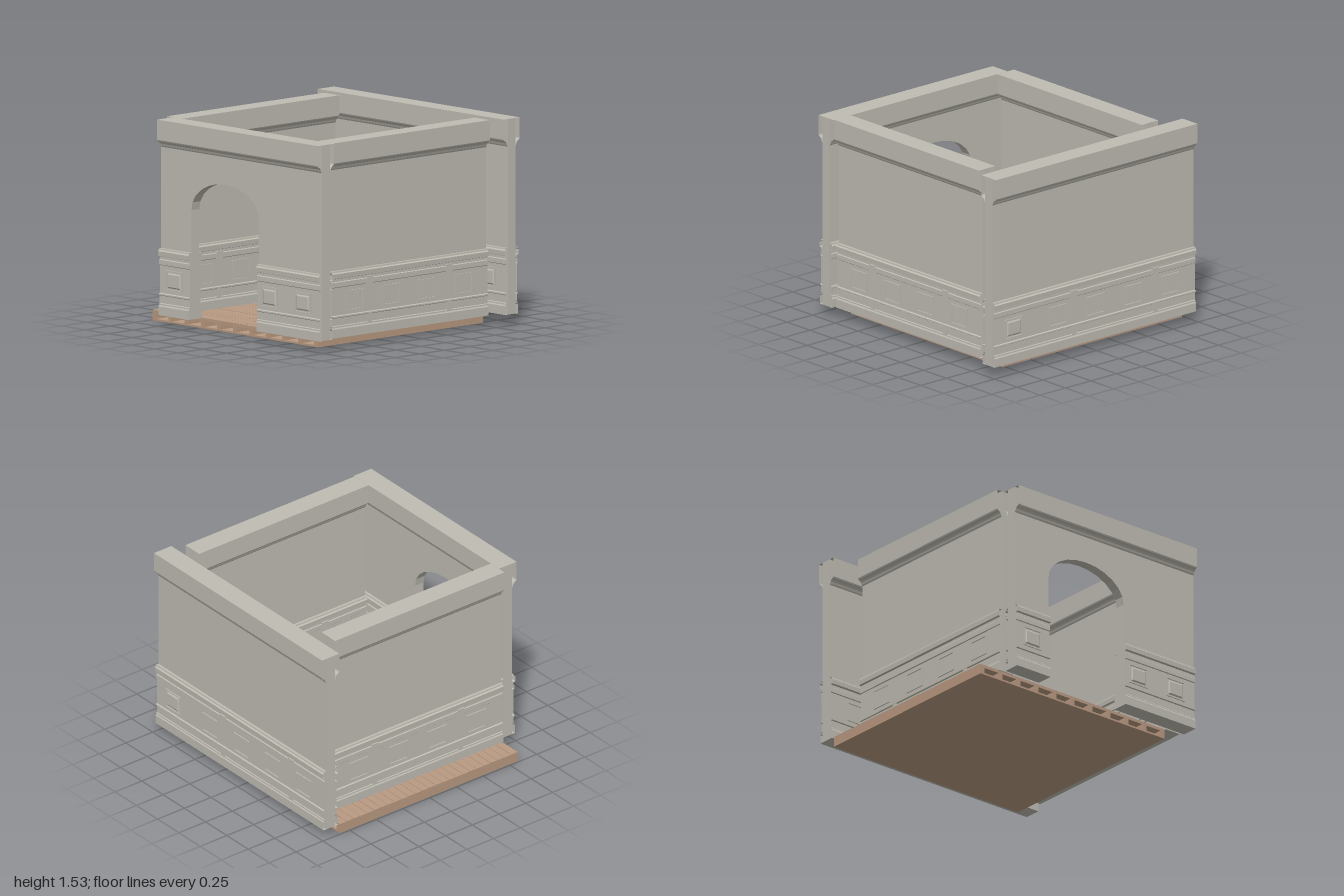
import * as THREE from 'three';

const Y0 = 0.08, Y1 = 1.53, CORE = 0.04;

// trim cross-sections: [distance from wall centre plane, height]
const CROWN = [[0.04, 1.325], [0.046, 1.335], [0.052, 1.35], [0.062, 1.363], [0.076, 1.37], [0.081, 1.38], [0.081, Y1], [0.038, Y1]];
const WAINSCOT = [[0.04, Y0], [0.066, Y0], [0.066, 0.145], [0.06, 0.155], [0.06, 0.165], [0.055, 0.17],
  [0.055, 0.225], [0.064, 0.23], [0.064, 0.24], [0.054, 0.245], [0.054, 0.45], [0.06, 0.455], [0.06, 0.49],
  [0.054, 0.495], [0.054, 0.515], [0.07, 0.52], [0.072, 0.555], [0.062, 0.563], [0.06, 0.575], [0.04, 0.575]];

export function createModel() {
  const model = new THREE.Group();
  model.name = 'roomSection';
  const stone = new THREE.MeshStandardMaterial({ color: 0xbfbcb2, side: THREE.DoubleSide });
  stone.name = 'greyPlaster';
  const wood = new THREE.MeshStandardMaterial({ color: 0xba9a82 });
  wood.name = 'brownWood';

  function add(parent, name, geometry, material, x = 0, y = 0, z = 0) {
    const m = new THREE.Mesh(geometry, material);
    m.name = name;
    m.position.set(x, y, z);
    parent.add(m);
    return m;
  }
  const box = (parent, name, mat, x0, x1, y0, y1, z0, z1) =>
    add(parent, name, new THREE.BoxGeometry(x1 - x0, y1 - y0, z1 - z0), mat, (x0 + x1) / 2, (y0 + y1) / 2, (z0 + z1) / 2);

  // open-ended moulding swept along x on side s (+1 or -1) of a wall
  function moulding(parent, name, profile, x0, x1, s) {
    const pos = [];
    for (let i = 0; i < profile.length - 1; i++) {
      const [u, y] = profile[i], [v, w] = profile[i + 1];
      const a = [x0, y, s * u], b = [x1, y, s * u], c = [x1, w, s * v], d = [x0, w, s * v];
      pos.push(...(s > 0 ? [a, b, c, a, c, d] : [a, c, b, a, d, c]).flat());
    }
    const g = new THREE.BufferGeometry();
    g.setAttribute('position', new THREE.Float32BufferAttribute(pos, 3));
    g.computeVertexNormals();
    add(parent, name, g, stone);
  }

  // closes the wainscot where the doorway cuts it
  function jambCap(parent, x, s) {
    const g = new THREE.ShapeGeometry(new THREE.Shape(WAINSCOT.map(([u, y]) => new THREE.Vector2(s * u, y))));
    add(parent, 'wainscotJamb', g, stone, x).rotation.y = -Math.PI / 2;
  }

  function rect(w, h, P = THREE.Shape) {
    const p = new P();
    p.moveTo(-w / 2, -h / 2).lineTo(w / 2, -h / 2).lineTo(w / 2, h / 2).lineTo(-w / 2, h / 2);
    p.closePath();
    return p;
  }
  function frame(w, h, t, depth) {
    const s = rect(w, h);
    s.holes.push(rect(w - 2 * t, h - 2 * t, THREE.Path));
    return new THREE.ExtrudeGeometry(s, { depth, bevelEnabled: false });
  }
  const outerFrame = frame(0.175, 0.15, 0.009, 0.009);
  const innerField = new THREE.ExtrudeGeometry(rect(0.115, 0.092), {
    depth: 0.003, bevelThickness: 0.006, bevelSize: 0.01, bevelSegments: 1 });

  // framed wall panel; ornate ones carry a raised inner field
  function panel(parent, x, s, ornate) {
    const g = new THREE.Group();
    g.name = 'wallPanel';
    g.position.set(x, 0.345, s * 0.053);
    if (s < 0) g.rotation.y = Math.PI;
    add(g, 'panelFrame', outerFrame, stone);
    if (ornate) add(g, 'panelField', innerField, stone);
    parent.add(g);
  }

  // plain straight segment of wall
  const core = (w, x0, x1) => box(w, 'wallCore', stone, x0, x1, Y0, Y1, -CORE, CORE);

  function trim(w, x0, x1, panels, ornate, crown = true) {
    for (const s of [1, -1]) {
      if (crown) moulding(w, 'crownMoulding', CROWN, x0, x1, s);
      moulding(w, 'wainscot', WAINSCOT, x0, x1, s);
      panels.forEach(x => panel(w, x, s, ornate));
    }
  }

  // small clips on the wainscot rails
  function clips(w, centre) {
    for (const s of [1, -1]) for (const o of [-0.4, 0.4]) {
      const x = centre + o;
      box(w, 'railClip', stone, x - 0.03, x + 0.03, 0.45, 0.505, s * 0.059 - 0.006, s * 0.059 + 0.006);
      box(w, 'baseClip', stone, x - 0.02, x + 0.02, 0.165, 0.235, s * 0.057 - 0.006, s * 0.057 + 0.006);
    }
  }

  function wall(name, x, z, turn = 0) {
    const w = new THREE.Group();
    w.name = name;
    w.position.set(x, 0, z);
    w.rotation.y = turn;
    model.add(w);
    return w;
  }
  const OFFSETS = [-0.55, -0.18, 0.18, 0.55];

  // side walls
  for (const [name, x, turn] of [['leftWall', 0.85, Math.PI / 2], ['rightWall', -0.748, -Math.PI / 2]]) {
    const w = wall(name, x, 0.043, turn);
    core(w, -0.792, 0.792);
    trim(w, -0.792, 0.792, OFFSETS, false);
    clips(w, 0);
  }

  // back wall: long segment and short segment
  const back = wall('backWall', 0, -0.919);
  core(back, -0.99, 0.59);
  trim(back, -0.99, 0.59, OFFSETS.map(o => o - 0.195), false);
  clips(back, -0.2);
  core(back, 0.59, 0.985);
  trim(back, 0.59, 0.985, [0.79], true);

  // front wall with arched doorway
  const front = wall('frontWall', 0, 0.917);
  const L = -0.765, R = 0.545, A = -0.445, B = 0.275, mid = (A + B) / 2, half = (B - A) / 2;
  const arch = new THREE.Shape();
  arch.moveTo(L, Y0).lineTo(A, Y0);
  for (let i = 0; i <= 12; i++) {
    const t = Math.PI * (1 - i / 12);
    arch.lineTo(mid + half * Math.cos(t), 0.89 + 0.232 * Math.sin(t));
  }
  arch.lineTo(B, Y0).lineTo(R, Y0).lineTo(R, Y1).lineTo(L, Y1);
  arch.closePath();
  add(front, 'archedWallCore', new THREE.ExtrudeGeometry(arch, { depth: 2 * CORE, bevelEnabled: false }), stone, 0, 0, -CORE);
  for (const s of [1, -1]) {
    moulding(front, 'crownMoulding', CROWN, L, R, s);
    jambCap(front, A, s);
    jambCap(front, B, s);
  }
  trim(front, L, A, [-0.61], true, false);
  trim(front, B, R, [0.403], true, false);
  core(front, R, 0.942);
  trim(front, R, 0.942, [0.757], true);

  // floor deck: base sheet, joists, subfloor, planks
  const floor = new THREE.Group();
  floor.name = 'floor';
  model.add(floor);
  const X0 = -0.99, X1 = 0.77, Z = 0.833;
  box(floor, 'baseSheet', wood, X0, X1, 0, 0.014, -Z, Z);
  box(floor, 'subfloor', wood, X0, X1, 0.054, 0.068, -Z, Z);
  const joists = 11;
  for (let i = 0; i < joists; i++) {
    const c = X0 + 0.02 + i * (X1 - X0 - 0.04) / (joists - 1);
    box(floor, 'joist', wood, c - 0.02, c + 0.02, 0.014, 0.054, -Z, Z);
  }
  let seed = 7;
  const rand = () => (seed = (seed * 16807) % 2147483647) / 2147483647;
  const rows = 26, step = 2 * Z / rows;
  for (let r = 0; r < rows; r++) {
    const joint = -0.6 + rand() * 0.6;
    const cuts = [X0, joint, joint + 0.35 + rand() * 0.4, X1];
    const z = -Z + r * step;
    for (let i = 0; i < 3; i++) {
      const top = 0.077 + rand() * 0.002;
      box(floor, 'plank', wood, cuts[i] + (i ? 0.002 : 0), cuts[i + 1] - (i < 2 ? 0.002 : 0), 0.066, top, z + 0.002, z + step - 0.002);
    }
  }
  return model;
}
